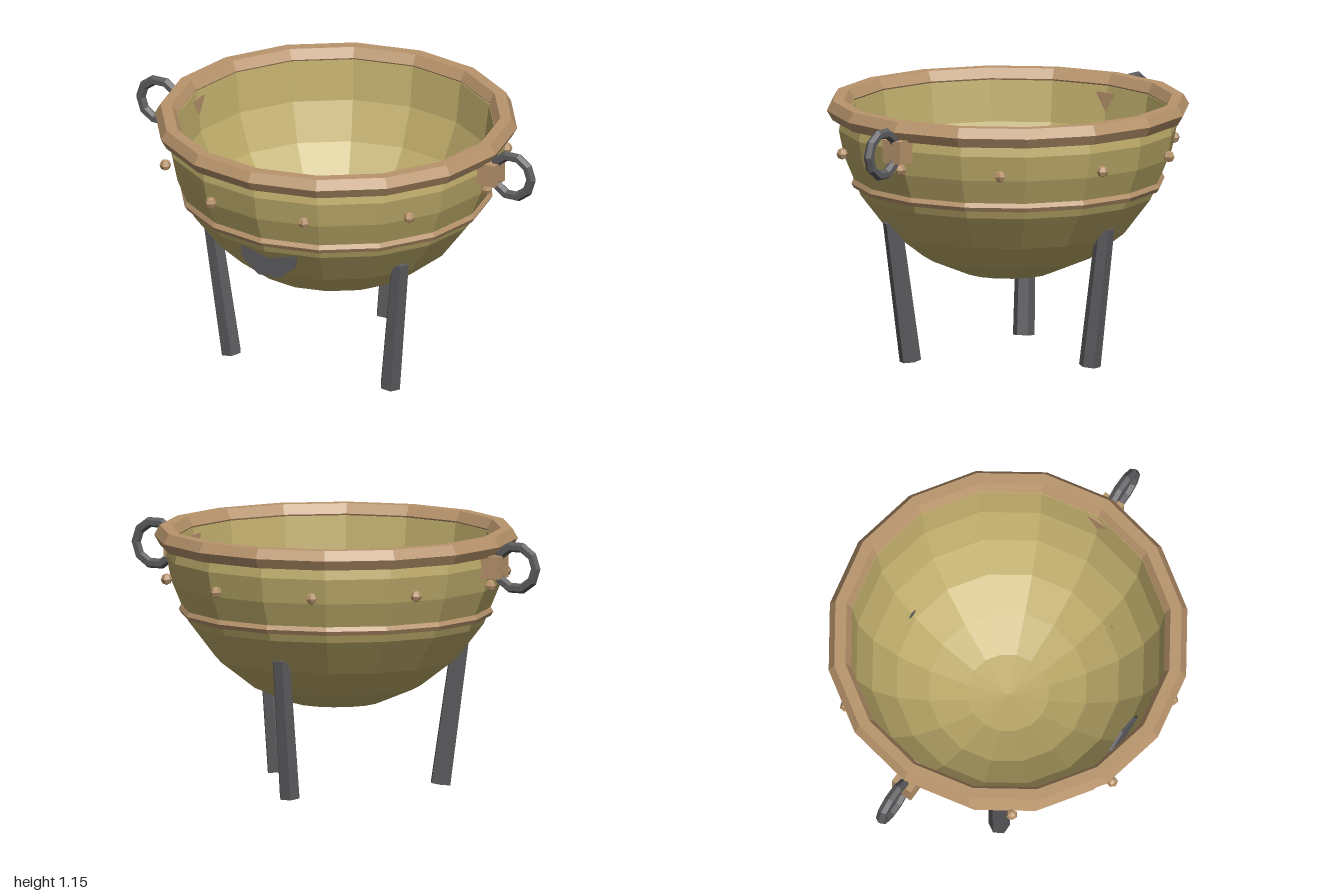
import * as THREE from 'three';

export function createModel() {
  const model = new THREE.Group();
  model.name = 'cauldron';

  const material = (name, color) => {
    const m = new THREE.MeshStandardMaterial({ color, flatShading: true });
    m.name = name;
    return m;
  };
  const brass = material('brass', 0xbfad6b);
  const copper = material('copper', 0xb8946c);
  const iron = material('iron', 0x5c5c5f);

  const add = (name, geometry, mat, x = 0, y = 0, z = 0, parent = model) => {
    const mesh = new THREE.Mesh(geometry, mat);
    mesh.name = name;
    mesh.position.set(x, y, z);
    parent.add(mesh);
    return mesh;
  };

  // Bowl: outer and inner hemispheres joined at the lip
  const centreY = 1.1;
  const arc = (r, deg) => {
    const a = THREE.MathUtils.degToRad(deg);
    return new THREE.Vector2(r * Math.sin(a), centreY - r * Math.cos(a));
  };
  const steps = [0, 15, 30, 45, 60, 75];
  const profile = [
    ...steps.map((d) => arc(0.75, d)),
    new THREE.Vector2(0.747, 1.017),
    new THREE.Vector2(0.732, centreY),
    new THREE.Vector2(0.7, centreY),
    ...steps.map((d) => arc(0.7, d)).reverse(),
  ];
  add('bowl', new THREE.LatheGeometry(profile, 16), brass);

  // Rim and lower band: hexagonal hoops
  const hoop = (name, radius, tube, y) =>
    add(name, new THREE.TorusGeometry(radius, tube, 6, 16).rotateX(Math.PI / 2), copper, 0, y, 0);
  hoop('rim', 0.75, 0.05, 1.107);
  hoop('band', 0.67, 0.022, 0.78);

  // Rivets around the bowl
  for (let i = 0; i < 10; i++) {
    const a = (i / 10) * Math.PI * 2;
    const rivet = add('rivet', new THREE.SphereGeometry(0.026, 6, 4), copper,
      0.755 * Math.cos(a), 0.935, 0.755 * Math.sin(a));
    rivet.rotation.y = -a;
  }

  // Handle brackets and rings on both sides
  for (const side of [1, -1]) {
    const label = side > 0 ? 'left' : 'right';
    add(label + 'Bracket', new THREE.BoxGeometry(0.135, 0.102, 0.1), copper, side * 0.7525, 1.022, 0);
    const ring = add(label + 'Ring', new THREE.TorusGeometry(0.095, 0.023, 6, 10), iron, side * 0.882, 1.022, 0);
    if (side < 0) ring.rotation.y = Math.PI;
  }

  // Three legs, leaning outward towards the bowl
  const foot = new THREE.Vector3(0.46, 0.006, 0);
  const top = new THREE.Vector3(0.545, 0.63, 0);
  const axis = top.clone().sub(foot);
  for (let i = 0; i < 3; i++) {
    const pivot = new THREE.Group();
    pivot.name = 'legMount';
    pivot.rotation.y = Math.PI / 2 + (i * Math.PI * 2) / 3;
    model.add(pivot);
    const mid = foot.clone().add(top).multiplyScalar(0.5);
    const leg = add('leg', new THREE.CylinderGeometry(0.042, 0.048, axis.length(), 6), iron, mid.x, mid.y, 0, pivot);
    leg.rotation.z = -Math.atan2(axis.x, axis.y);
  }

  // Repair plate set through the front wall
  add('patch', new THREE.CylinderGeometry(0.15, 0.15, 0.012, 9).rotateX(-Math.PI / 2), iron, 0, 0.734, 0.61);

  return model;
}
